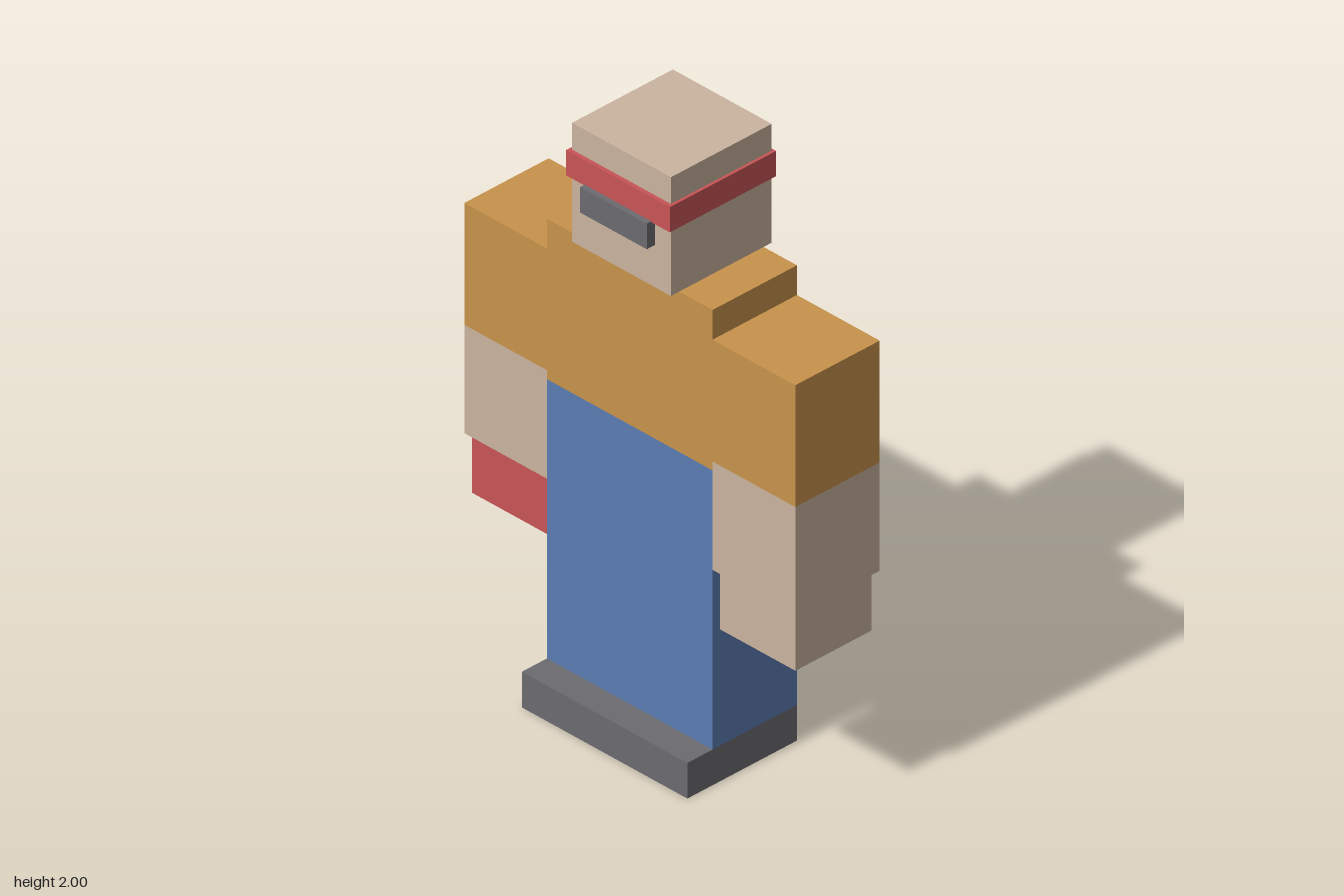
import * as THREE from 'three';

const mat = (name, color) => {
  const m = new THREE.MeshStandardMaterial({ color });
  m.name = name;
  return m;
};

export function createModel() {
  const skin = mat('skin', 0xcab49f);
  const orange = mat('orange shirt', 0xc8934b);
  const blue = mat('blue trousers', 0x5b7cb4);
  const grey = mat('dark grey', 0x6c6c70);
  const red = mat('red', 0xc85456);

  const model = new THREE.Group();
  model.name = 'blockFigure';

  // Box given by its lower and upper limits on each axis
  const block = (parent, name, material, [x0, x1], [y0, y1], [z0, z1]) => {
    const mesh = new THREE.Mesh(new THREE.BoxGeometry(x1 - x0, y1 - y0, z1 - z0), material);
    mesh.position.set((x0 + x1) / 2, (y0 + y1) / 2, (z0 + z1) / 2);
    mesh.name = name;
    parent.add(mesh);
  };

  const depth = [-0.2, 0.135];
  const width = [-0.335, 0.335];

  // Shoes, trousers and shirt
  block(model, 'shoes', grey, width, [0, 0.12], [-0.2, 0.235]);
  block(model, 'trousers', blue, width, [0.12, 1.06], depth);
  block(model, 'shirt', orange, width, [1.06, 1.6], depth);

  // Arms; the right hand wears a red glove
  for (const side of [1, -1]) {
    const arm = new THREE.Group();
    arm.name = side > 0 ? 'leftArm' : 'rightArm';
    const span = (a, b) => (side > 0 ? [a, b] : [-b, -a]);
    block(arm, 'sleeve', orange, span(0.335, 0.67), [1.09, 1.5], depth);
    block(arm, 'forearm', skin, span(0.335, 0.67), [0.725, 1.09], depth);
    block(arm, side > 0 ? 'hand' : 'glove', side > 0 ? skin : red,
      span(0.35, 0.655), [0.525, 0.725], [-0.183, 0.12]);
    model.add(arm);
  }

  // Head with headband and visor
  const head = new THREE.Group();
  head.name = 'head';
  block(head, 'skull', skin, [-0.2, 0.2], [1.6, 2], [-0.232, 0.168]);
  block(head, 'headband', red, [-0.21, 0.21], [1.825, 1.91], [-0.24, 0.182]);
  block(head, 'visor', grey, [-0.135, 0.135], [1.742, 1.828], [0.165, 0.2]);
  model.add(head);

  return model;
}
